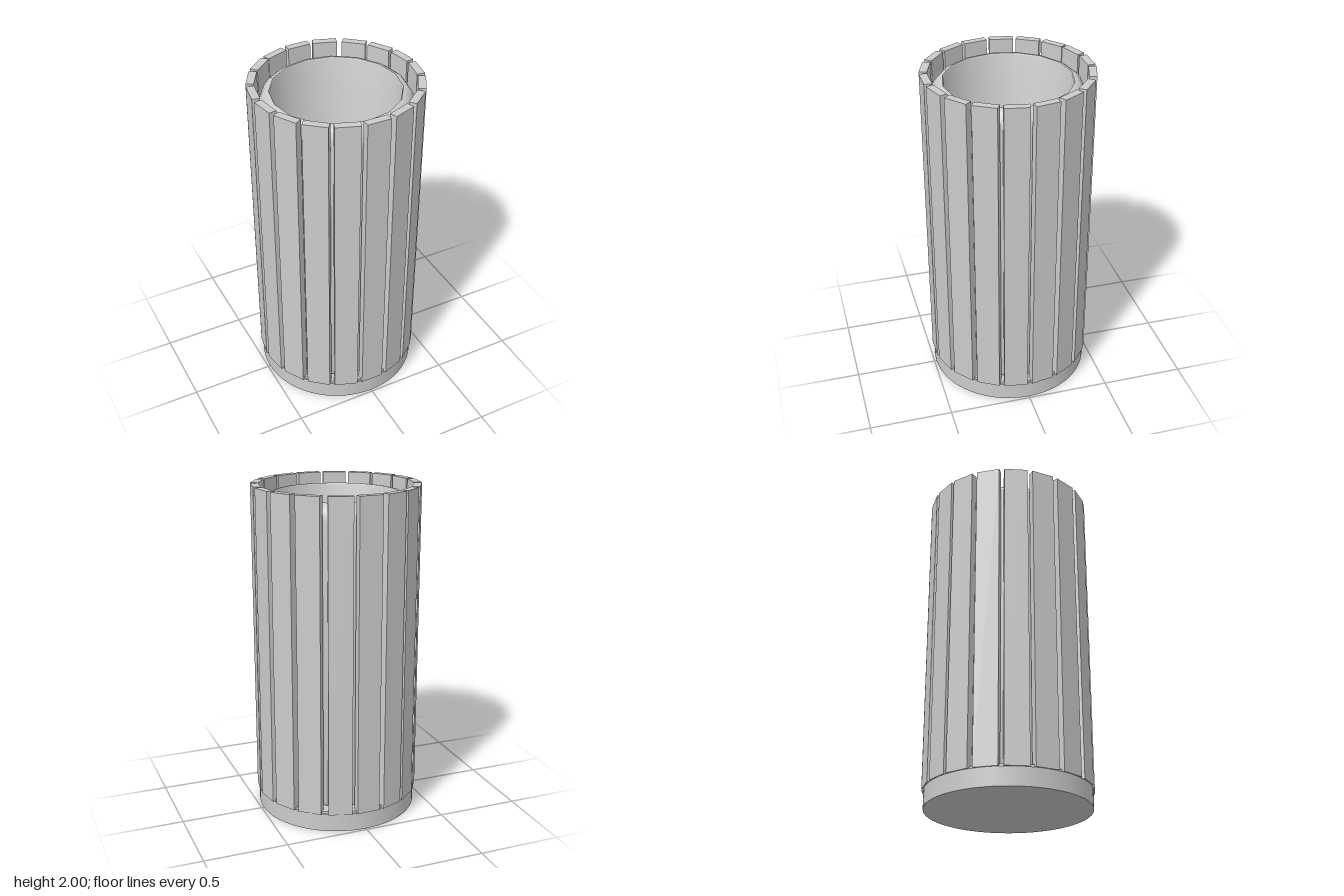
import * as THREE from 'three';
import { toCreasedNormals } from 'three/addons/utils/BufferGeometryUtils.js';

const material = new THREE.MeshStandardMaterial({ color: 0xcccccc });

// Solid of revolution from [radius, height] pairs, smooth except at sharp edges
function lathe(name, profile, segments) {
  const points = profile.map(([r, y]) => new THREE.Vector2(r, y));
  const geometry = toCreasedNormals(new THREE.LatheGeometry(points, segments), 0.6);
  const mesh = new THREE.Mesh(geometry, material);
  mesh.name = name;
  return mesh;
}

export function createModel() {
  const bin = new THREE.Group();
  bin.name = 'slattedBin';

  // Round foot with a small step that the slats stand against
  bin.add(lathe('base', [[0, 0], [0.487, 0], [0.487, 0.11], [0.48, 0.11], [0.48, 0.125], [0, 0.125]], 64));

  // Sixteen-sided liner: outer wall, rounded lip, inner wall, dished floor
  bin.add(lathe('liner', [
    [0, 0.126], [0.41, 0.126], [0.435, 0.14], [0.445, 0.18],
    [0.445, 1.84], [0.44, 1.875], [0.428, 1.905], [0.41, 1.93], [0.39, 1.943], [0.375, 1.945],
    [0.37, 1.935], [0.37, 0.7], [0.35, 0.56], [0.29, 0.42], [0.18, 0.28], [0.033, 0.14], [0, 0.14],
  ], 16));

  // Ring of upright slats; the three at the back sit slightly turned
  const slats = new THREE.Group();
  slats.name = 'slats';
  const count = 18, thickness = 0.046, outerRadius = 0.494;
  const slatGeometry = new THREE.BoxGeometry(0.142, 1.89, thickness);
  slatGeometry.translate(0, 1.055, outerRadius - thickness / 2);
  for (let i = 0; i < count; i++) {
    const slat = new THREE.Mesh(slatGeometry, material);
    slat.name = 'slat';
    const turn = Math.abs(i - count / 2) <= 1 ? 1.5 : 0;
    slat.rotation.y = THREE.MathUtils.degToRad(i * 360 / count + turn);
    slats.add(slat);
  }
  bin.add(slats);

  return bin;
}
